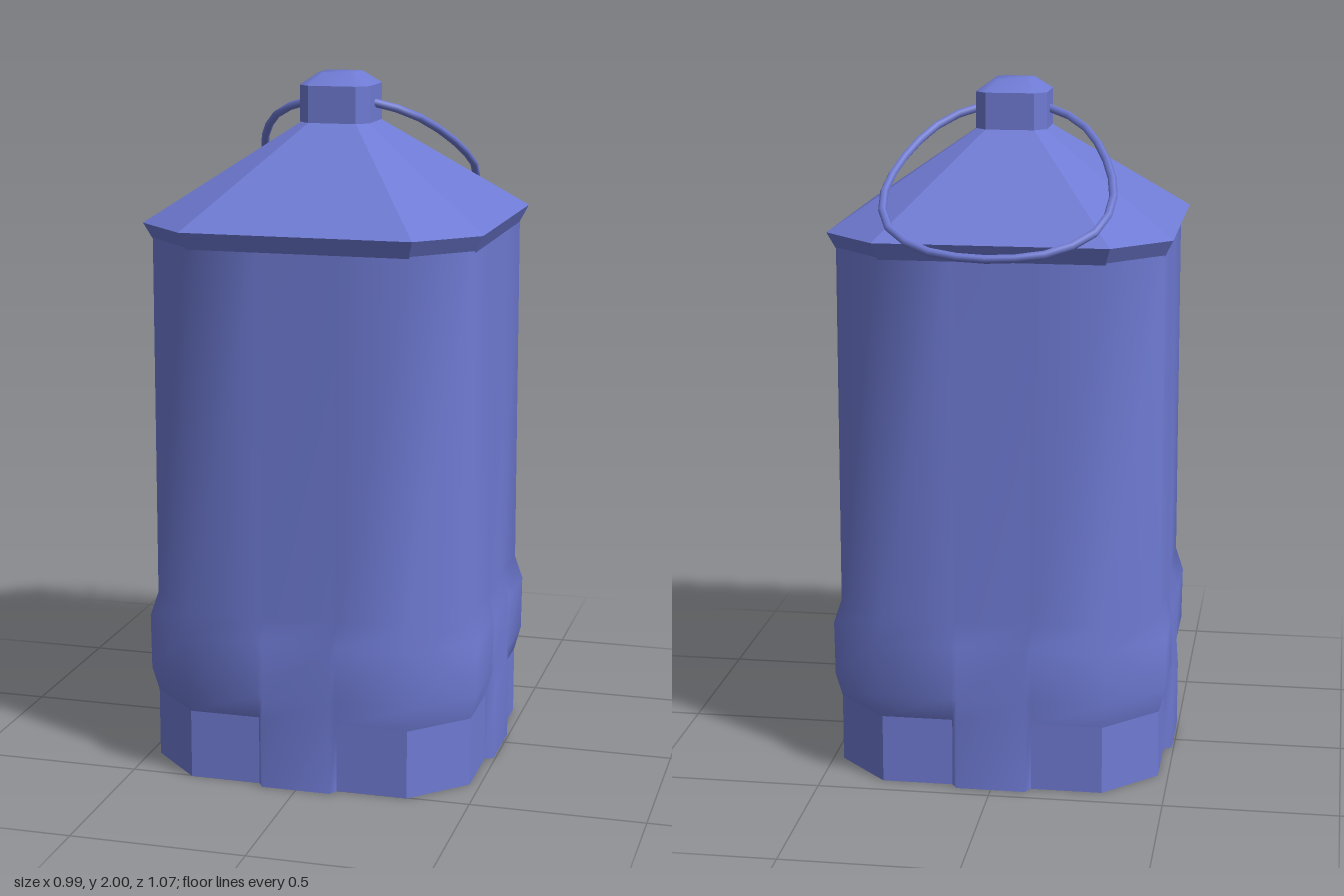
import * as THREE from 'three';

const CENTRE_Z = 0.035;

function material(flat) {
  return new THREE.MeshStandardMaterial({ color: 0x6f7bd4, flatShading: flat, side: THREE.DoubleSide });
}

// Repeat one side's points [along, out] on all four sides of a square section
function section(side, y) {
  const points = [];
  for (let k = 0; k < 4; k++) {
    for (const [a, h] of side) {
      let x = a, z = h;
      for (let r = 0; r < k; r++) [x, z] = [z, -x];
      points.push([x, y, z]);
    }
  }
  return points;
}

// Chamfered square: half width h, corners starting at t
const octagon = (y, h, t) => section([[-t, h], [t, h]], y);

// Wall section with a raised middle strip (m) between the corner faces (f)
const wall = ([y, m, f, t]) =>
  section([[-t, f], [-0.115, f], [-0.1, m], [0.1, m], [0.115, f], [t, f]], y);

// Skin a stack of sections; keep(row, column) may leave faces out
function loft(name, rings, flat, { keep = () => true, cap = false } = {}) {
  const n = rings[0].length;
  const positions = rings.flat(2);
  const index = [];
  for (let i = 0; i < rings.length - 1; i++) {
    for (let j = 0; j < n; j++) {
      if (!keep(i, j)) continue;
      const a = i * n + j, b = i * n + (j + 1) % n;
      index.push(a, b, b + n, a, b + n, a + n);
    }
  }
  if (cap) {
    const top = (rings.length - 1) * n;
    positions.push(0, rings[rings.length - 1][0][1], 0);
    for (let j = 0; j < n; j++) index.push(top + j, top + (j + 1) % n, rings.length * n);
  }
  const geometry = new THREE.BufferGeometry();
  geometry.setAttribute('position', new THREE.Float32BufferAttribute(positions, 3));
  geometry.setIndex(index);
  geometry.computeVertexNormals();
  const mesh = new THREE.Mesh(geometry, material(flat));
  mesh.name = name;
  mesh.position.z = CENTRE_Z;
  return mesh;
}

export function createModel() {
  const model = new THREE.Group();
  model.name = 'lantern';

  // Smooth hollow body: middle strips reach the ground, the bulge runs all round
  const bodyRings = [
    [0, 0.495, 0.47, 0.32],
    [0.2, 0.495, 0.47, 0.32],
    [0.27, 0.49, 0.488, 0.33],
    [0.43, 0.49, 0.49, 0.33],
    [0.5, 0.47, 0.468, 0.32],
    [1.55, 0.465, 0.465, 0.32],
  ].map(wall);
  model.add(loft('body', bodyRings, false, { keep: (i, j) => i > 0 || [1, 2, 3].includes(j % 6) }));

  // Flat plates wrapping the four corners at the foot
  model.add(loft('cornerPlates', bodyRings.slice(0, 2), true, { keep: (i, j) => [4, 5, 0].includes(j % 6) }));

  // Faceted roof with a thin eave
  model.add(loft('roof', [
    octagon(1.54, 0.465, 0.315),
    octagon(1.59, 0.49, 0.33),
    octagon(1.86, 0.1, 0.07),
  ], true));

  // Knob with a softly domed cap
  model.add(loft('knob', [octagon(1.86, 0.103, 0.07), octagon(1.965, 0.103, 0.07)], true));
  model.add(loft('knobCap', [octagon(1.965, 0.103, 0.07), octagon(2.0, 0.055, 0.038)], false, { cap: true }));

  // Tilted carrying ring, hinged on both sides of the knob
  const half = [[0.09, 0.045], [0.19, -0.01], [0.28, -0.14], [0.322, -0.31], [0.28, -0.43], [0.17, -0.5], [0.06, -0.522]];
  const outline = [...half, ...half.map(([x, z]) => [-x, z]).reverse()];
  const path = new THREE.CatmullRomCurve3(
    outline.map(([x, z]) => new THREE.Vector3(x, 1.91 + (z - CENTRE_Z) * 0.615, z)));
  const handle = new THREE.Mesh(new THREE.TubeGeometry(path, 24, 0.012, 6), material(false));
  handle.name = 'handle';
  model.add(handle);

  return model;
}
